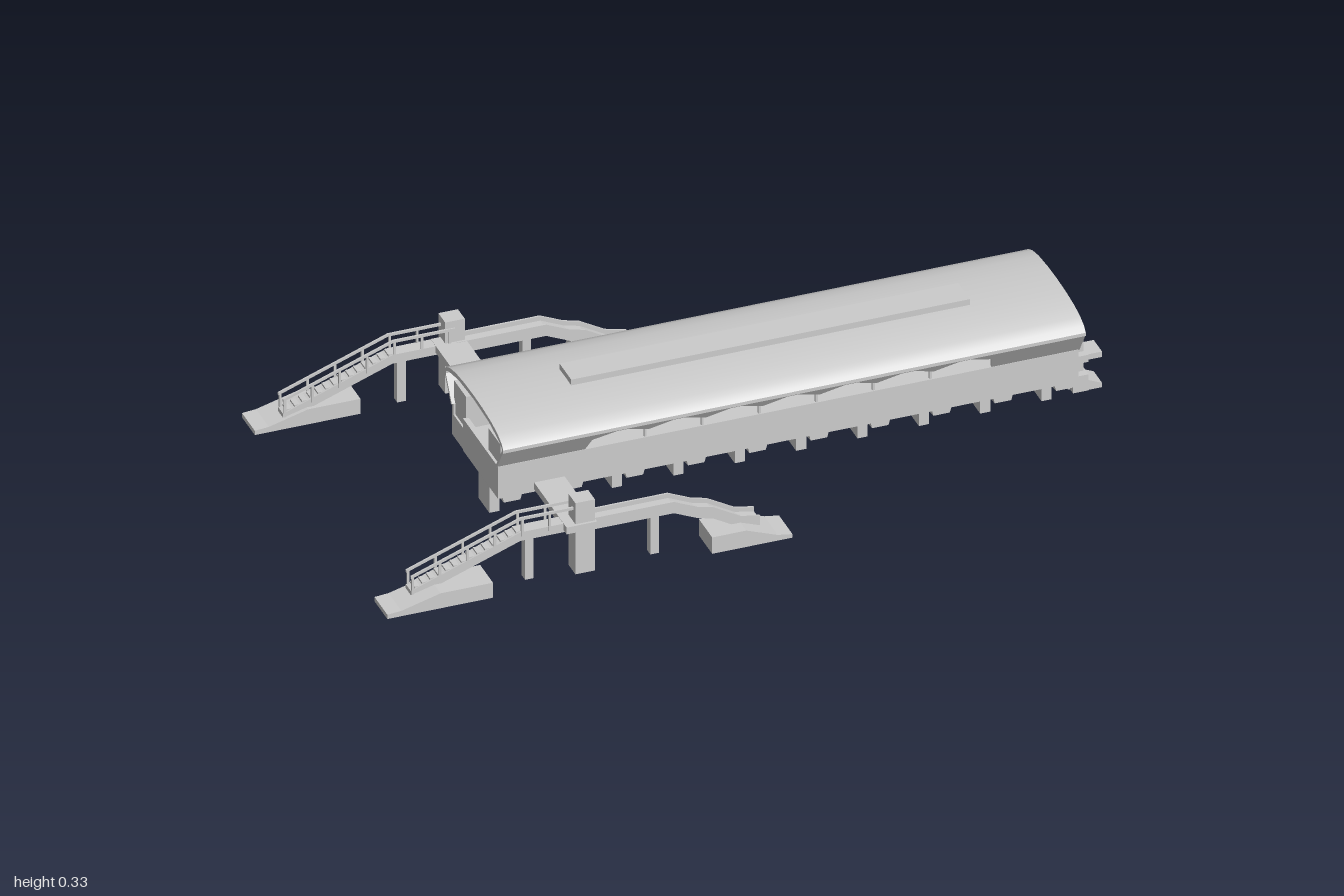
import * as THREE from 'three';
import { toCreasedNormals } from 'three/addons/utils/BufferGeometryUtils.js';

const mat = new THREE.MeshStandardMaterial({ color: 0xcccccc, side: THREE.DoubleSide });

function add(parent, name, geo) {
  const m = new THREE.Mesh(geo, mat);
  m.name = name;
  parent.add(m);
  return m;
}

// Box given by its limits along the hall (x), in height (y) and across (z)
function box(parent, name, x0, x1, y0, y1, z0, z1) {
  const m = add(parent, name, new THREE.BoxGeometry(x1 - x0, y1 - y0, z1 - z0));
  m.position.set((x0 + x1) / 2, (y0 + y1) / 2, (z0 + z1) / 2);
  return m;
}

const shapeOf = pts => new THREE.Shape(pts.map(p => new THREE.Vector2(p[0], p[1])));

// Side profile (x, y) given a width across the hall
function slab(parent, name, pts, z, width) {
  const g = new THREE.ExtrudeGeometry(shapeOf(pts), { depth: width, bevelEnabled: false });
  return add(parent, name, g.translate(0, 0, z - width / 2));
}

// Symmetric half cross-section (z, y) swept along the hall
function sweep(half, length) {
  const mirrored = half.map(([z, y]) => [-z, y]).reverse();
  const g = new THREE.ExtrudeGeometry(shapeOf([...half, ...mirrored]), { depth: length, bevelEnabled: false });
  return g.translate(0, 0, -length / 2).rotateY(Math.PI / 2);
}

// Strip of given thickness following a path in the side plane
const strip = (path, low, high) => [
  ...path.map(([x, y]) => [x, y + low]),
  ...path.map(([x, y]) => [x, y + high]).reverse()
];

function buildHall(g) {
  // Trough-shaped body with low side walls
  add(g, 'hallBody', sweep([[0, 0.115], [0.157, 0.115], [0.157, 0.205], [0.145, 0.205], [0.145, 0.175], [0, 0.175]], 1.48));

  // Thin curved roof shell
  const roof = sweep([
    [0, 0.304], [0.1, 0.299], [0.15, 0.289], [0.175, 0.282], [0.187, 0.275], [0.188, 0.266],
    [0.197, 0.266], [0.197, 0.275], [0.185, 0.288], [0.16, 0.299], [0.12, 0.308], [0.06, 0.3135], [0, 0.315]
  ], 1.488);
  add(g, 'roofShell', toCreasedNormals(roof, 0.6));
  box(g, 'roofSkylight', -0.51, 0.508, 0.305, 0.33, -0.039, 0.039);

  // Inward-leaning roof skirts: full depth at the ends, toothed between
  const pts = [[-0.744, 0], [-0.744, -0.08], [-0.52, -0.08], [-0.51, -0.03]];
  const pitch = 1.02 / 7;
  for (let i = 0; i < 7; i++) {
    const x = -0.51 + i * pitch;
    if (i > 0) pts.push([x, -0.033]);
    pts.push([x + pitch * 0.4, -0.008], [x + pitch * 0.6, -0.008]);
  }
  pts.push([0.51, -0.03], [0.52, -0.08], [0.744, -0.08], [0.744, 0]);
  for (const turn of [0, Math.PI]) {
    const side = new THREE.Group();
    side.name = 'hallSide';
    side.rotation.y = turn;
    g.add(side);
    const skirt = slab(side, 'roofSkirt', pts, 0, 0.007);
    skirt.position.set(0, 0.27, 0.193);
    skirt.rotation.x = 0.567;
    // Thin props from wall to roof teeth
    for (let i = 1; i < 7; i++) {
      const x = -0.51 + i * pitch;
      box(side, 'roofProp', x - 0.003, x + 0.003, 0.2, 0.285, 0.148, 0.154);
    }
    // End wall and corner rooms
    box(side, 'endParapet', 0.728, 0.742, 0.115, 0.205, -0.157, 0.078);
    for (const z of [-0.115, 0.115])
      box(side, 'cornerRoom', 0.62, 0.735, 0.17, 0.265, z - 0.04, z + 0.04);
  }
}

function buildPiers(g) {
  for (let i = 0; i < 10; i++) {
    const x = -0.705 + i * 0.1567;
    // Crossbeam, narrower toward its underside
    const beam = sweep([[0, 0.076], [0.038, 0.076], [0.155, 0.1], [0.155, 0.116], [0, 0.116]], 0.05);
    const p = beam.attributes.position;
    for (let k = 0; k < p.count; k++)
      p.setX(k, p.getX(k) * THREE.MathUtils.mapLinear(p.getY(k), 0.076, 0.116, 0.6, 1));
    beam.computeVertexNormals();
    add(g, 'crossbeam', beam).position.x = x;
    box(g, 'pier', x - 0.013, x + 0.013, 0, 0.08, -0.036, 0.036);
  }
}

// Lift tower with a stair on each side, standing across from the hall
function buildAccess(g, z, out) {
  const a = new THREE.Group();
  a.name = 'accessStairs';
  a.position.z = z;
  g.add(a);
  box(a, 'liftTower', -0.625, -0.575, 0, 0.2, out * 0.008 - 0.023, out * 0.008 + 0.023);

  const left = [[-1.04, 0.025], [-0.76, 0.128], [-0.6, 0.128]];
  const right = [[-0.6, 0.122], [-0.37, 0.122], [-0.31, 0.095], [-0.27, 0.085], [-0.2, 0.045], [-0.15, 0.035]];
  slab(a, 'longStair', strip(left, -0.012, 0.012), 0, 0.034);
  slab(a, 'shortStair', strip(right, -0.012, 0.008), 0, 0.044);
  for (const s of [-1, 1]) {
    slab(a, 'parapet', strip(right, 0, 0.02), s * 0.02, 0.005);
    slab(a, 'handrail', strip(left, 0.046, 0.053), s * 0.016, 0.005);
    for (let i = 0; i <= 6; i++) {
      const x = -1.035 + i * 0.07;
      const y = Math.min(0.128, 0.025 + (x + 1.04) * 0.368);
      box(a, 'railPost', x - 0.003, x + 0.003, y, y + 0.05, s * 0.016 - 0.0025, s * 0.016 + 0.0025);
    }
  }
  // Treads on both flights
  for (let i = 0; i < 14; i++) {
    const x = -1.03 + i * 0.02;
    const y = 0.037 + (x + 1.04) * 0.368;
    box(a, 'tread', x, x + 0.02, y - 0.004, y + 0.005, -0.014, 0.014);
  }
  for (const x of [-0.735, -0.415])
    box(a, 'stairPost', x - 0.011, x + 0.011, 0, 0.122, -0.011, 0.011);

  // Ground landings, sloped toward the outer end
  const zl = out * 0.016;
  slab(a, 'longLanding', [[-1.116, 0], [-0.846, 0], [-0.846, 0.042], [-0.98, 0.042], [-1.08, 0.015], [-1.116, 0.012]], zl, 0.086);
  slab(a, 'shortLanding', [[-0.287, 0], [-0.082, 0], [-0.082, 0.01], [-0.12, 0.016], [-0.2, 0.046], [-0.287, 0.046]], zl, 0.09);
}

function buildEndStub(g) {
  box(g, 'endPost', 0.77, 0.81, 0, 0.175, -0.01, 0.01);
  box(g, 'endBracket', 0.735, 0.815, 0.08, 0.1, -0.03, 0.03);
  box(g, 'endFooting', 0.775, 0.815, 0, 0.045, -0.03, 0.03);
  box(g, 'endArm', 0.81, 0.85, 0.085, 0.1, -0.028, 0.028);
  slab(g, 'endStep', [[0.81, 0], [0.85, 0], [0.85, 0.012], [0.81, 0.03]], 0, 0.056);
}

export function createModel() {
  const model = new THREE.Group();
  model.name = 'elevatedStation';
  // The whole station lies slightly turned in its frame
  const g = new THREE.Group();
  g.name = 'station';
  g.position.set(0.15, 0, 0.05);
  g.rotation.y = 0.0675;
  model.add(g);

  buildHall(g);
  buildPiers(g);
  box(g, 'footbridge', -0.65, -0.572, 0.122, 0.141, -0.535, 0.375);
  buildAccess(g, 0.337, 1);
  buildAccess(g, -0.518, -1);
  buildEndStub(g);
  return model;
}
